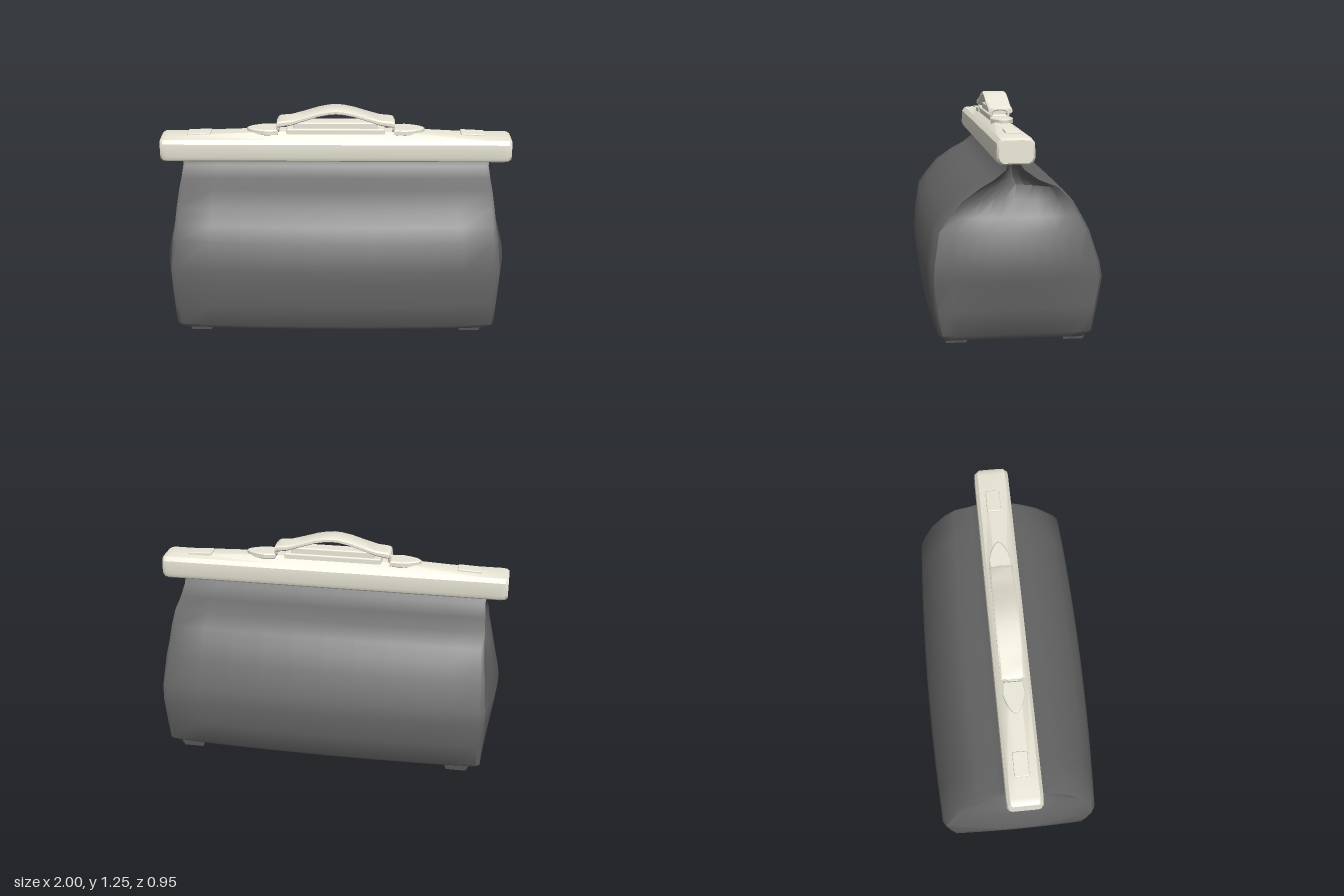
import * as THREE from 'three';
import { toCreasedNormals } from 'three/addons/utils/BufferGeometryUtils.js';
import { RoundedBoxGeometry } from 'three/addons/geometries/RoundedBoxGeometry.js';

const DARK = new THREE.MeshStandardMaterial({ color: 0x666666, side: THREE.DoubleSide });
const CREAM = new THREE.MeshStandardMaterial({ color: 0xebe8d8 });
const MID_Z = 0.018; // the frame sits slightly forward of centre

// Skin a list of rings (counterclockwise seen from the last ring's side) and cap both ends
function loft(rings, crease = 0.6) {
  const n = rings[0].length;
  const pos = rings.flat(2);
  const idx = [];
  for (let i = 0; i + 1 < rings.length; i++) {
    for (let j = 0; j < n; j++) {
      const a = i * n + j, b = i * n + ((j + 1) % n);
      idx.push(a, b, b + n, a, b + n, a + n);
    }
  }
  [0, rings.length - 1].forEach((r, end) => {
    const c = pos.length / 3;
    for (let k = 0; k < 3; k++) pos.push(rings[r].reduce((s, p) => s + p[k], 0) / n);
    for (let j = 0; j < n; j++) {
      const a = r * n + j, b = r * n + ((j + 1) % n);
      if (end) idx.push(c, a, b);
      else idx.push(c, b, a);
    }
  });
  const g = new THREE.BufferGeometry();
  g.setAttribute('position', new THREE.Float32BufferAttribute(pos, 3));
  g.setIndex(idx);
  return toCreasedNormals(g, crease);
}

function add(parent, name, geometry, material, x = 0, y = 0, z = 0) {
  const m = new THREE.Mesh(geometry, material);
  m.name = name;
  m.position.set(x, y, z);
  parent.add(m);
  return m;
}

// Soft bag: one ring per height, with bulging ends that fold inward at the top
function bodyGeometry() {
  // height, front z, back z, half length, end bulge
  const rows = [
    [0.027, 0.40, -0.38, 0.885, 0],
    [0.06, 0.43, -0.42, 0.912, 0.01],
    [0.20, 0.455, -0.45, 0.912, 0.035],
    [0.35, 0.475, -0.475, 0.912, 0.06],
    [0.43, 0.47, -0.46, 0.912, 0.07],
    [0.60, 0.44, -0.40, 0.905, 0.03],
    [0.67, 0.385, -0.36, 0.90, 0.005],
    [0.75, 0.315, -0.31, 0.895, -0.09],
    [0.82, 0.21, -0.235, 0.89, -0.14],
    [0.86, 0.13, -0.125, 0.885, -0.16],
    [0.91, 0.06, -0.045, 0.88, -0.16],
    [0.965, 0.04, -0.005, 0.88, -0.16],
  ];
  const N = 10;
  return loft(rows.map(([y, front, back, half, bulge]) => {
    const mid = (front + back) / 2, depth = (front - back) / 2;
    const ring = [];
    for (const s of [1, -1]) { // s = 1: front then +x end, s = -1: back then -x end
      for (let i = 0; i <= N; i++) {
        const t = -1 + (2 * i) / N;
        ring.push([s * t * (half - 0.018), y, mid + s * depth * (1 - 0.06 * t * t)]);
      }
      for (let i = 0; i <= N; i++) {
        const t = 0.9 * (1 - (2 * i) / N);
        const k = bulge > 0 ? 1 - t * t : 0.9 - Math.abs(t);
        ring.push([s * (half + bulge * k), y, mid + s * t * depth]);
      }
    }
    return ring;
  }), 0.75);
}

// Rigid closing frame with a low ridge rising to the middle
function frameGeometry() {
  const section = (x, ridge, k) => {
    const half = [[0.035, ridge], [0.08, 1.083], [0.098, 1.06], [0.101, 0.985], [0.092, 0.962], [0.075, 0.95]];
    const pts = half.map(([z, y]) => [x, 1.017 + (y - 1.017) * k, MID_Z + z * k]);
    const other = half.map(([z, y]) => [x, 1.017 + (y - 1.017) * k, MID_Z - z * k]).reverse();
    return [...pts, ...other];
  };
  const stations = [[1, 1.085, 0.86], [0.985, 1.086, 0.97], [0.96, 1.087, 1], [0.85, 1.093, 1], [0.35, 1.118, 1]];
  return loft([
    ...stations.map(([x, r, k]) => section(-x, r, k)),
    ...stations.slice().reverse().map(([x, r, k]) => section(x, r, k)),
  ], 0.5);
}

// Curved grip, thicker at its ends, with bevelled long edges
function gripGeometry() {
  const half = [[0.33, 1.178, 0.028], [0.315, 1.186, 0.036], [0.25, 1.192, 0.03],
    [0.18, 1.212, 0.026], [0.1, 1.237, 0.025], [0.04, 1.249, 0.025]];
  const section = ([x, top, t]) => {
    const edge = [[0.056, 0], [0.066, 0.25], [0.066, 0.75], [0.056, 1]];
    return [
      ...edge.map(([z, f]) => [x, top - t * f, MID_Z - 0.003 + z]),
      ...edge.slice().reverse().map(([z, f]) => [x, top - t * f, MID_Z - 0.003 - z]),
    ];
  };
  return loft([
    ...half.map(([x, y, t]) => section([-x, y, t])),
    [0, 1.252, 0.025],
    ...half.slice().reverse(),
  ].map((s) => (s.length === 3 && !Array.isArray(s[0]) ? section(s) : s)), 0.6);
}

// Pointed leaf-shaped mount, tip towards +x
function mountGeometry() {
  const s = new THREE.Shape();
  s.moveTo(0, -0.05);
  s.lineTo(0.06, -0.056);
  s.quadraticCurveTo(0.15, -0.035, 0.165, 0);
  s.quadraticCurveTo(0.15, 0.035, 0.06, 0.056);
  s.lineTo(0, 0.05);
  s.closePath();
  const g = new THREE.ExtrudeGeometry(s, {
    depth: 0.022, bevelThickness: 0.006, bevelSize: 0.006, bevelSegments: 1, curveSegments: 6,
  });
  g.rotateX(-Math.PI / 2);
  return g;
}

export function createModel() {
  const bag = new THREE.Group();
  bag.name = 'bag';

  add(bag, 'body', bodyGeometry(), DARK);
  add(bag, 'frame', frameGeometry(), CREAM);

  const handle = new THREE.Group();
  handle.name = 'handle';
  bag.add(handle);
  add(handle, 'grip', gripGeometry(), CREAM);

  // Stepped lock block below the grip
  add(bag, 'lockBase', new RoundedBoxGeometry(0.56, 0.04, 0.1, 2, 0.008), CREAM, 0, 1.118, MID_Z);
  add(bag, 'lockBlock', new RoundedBoxGeometry(0.48, 0.05, 0.08, 2, 0.008), CREAM, 0, 1.148, MID_Z);

  for (const s of [-1, 1]) {
    // Handle mount and the wire link that holds the grip
    const mount = add(handle, 'handleMount', mountGeometry(), CREAM, s * 0.335, 1.105, MID_Z - 0.003);
    if (s < 0) mount.rotation.y = Math.PI;
    const wire = new THREE.CatmullRomCurve3(
      [[-0.03, 1.12], [-0.045, 1.135], [-0.04, 1.165], [0.04, 1.165], [0.045, 1.135], [0.03, 1.12]]
        .map(([z, y]) => new THREE.Vector3(s * 0.328, y, MID_Z + z)));
    add(handle, 'handleLink', new THREE.TubeGeometry(wire, 24, 0.008, 6), CREAM);

    // Flat plate on the frame, tilted with its ridge
    const plate = add(bag, 'framePlate', new RoundedBoxGeometry(0.135, 0.02, 0.08, 2, 0.005), CREAM, s * 0.78, 1.095, MID_Z - 0.005);
    plate.rotation.z = -s * 0.05;

    // Feet, tapering downwards
    for (const f of [-1, 1]) {
      const foot = new THREE.CylinderGeometry(0.5 * Math.SQRT2, 0.4 * Math.SQRT2, 0.04, 4, 1);
      foot.rotateY(Math.PI / 4);
      foot.scale(0.14, 1, 0.13);
      add(bag, 'foot', toCreasedNormals(foot, 0.3), DARK, s * 0.78, 0.02, f * 0.31);
    }
  }
  return bag;
}
